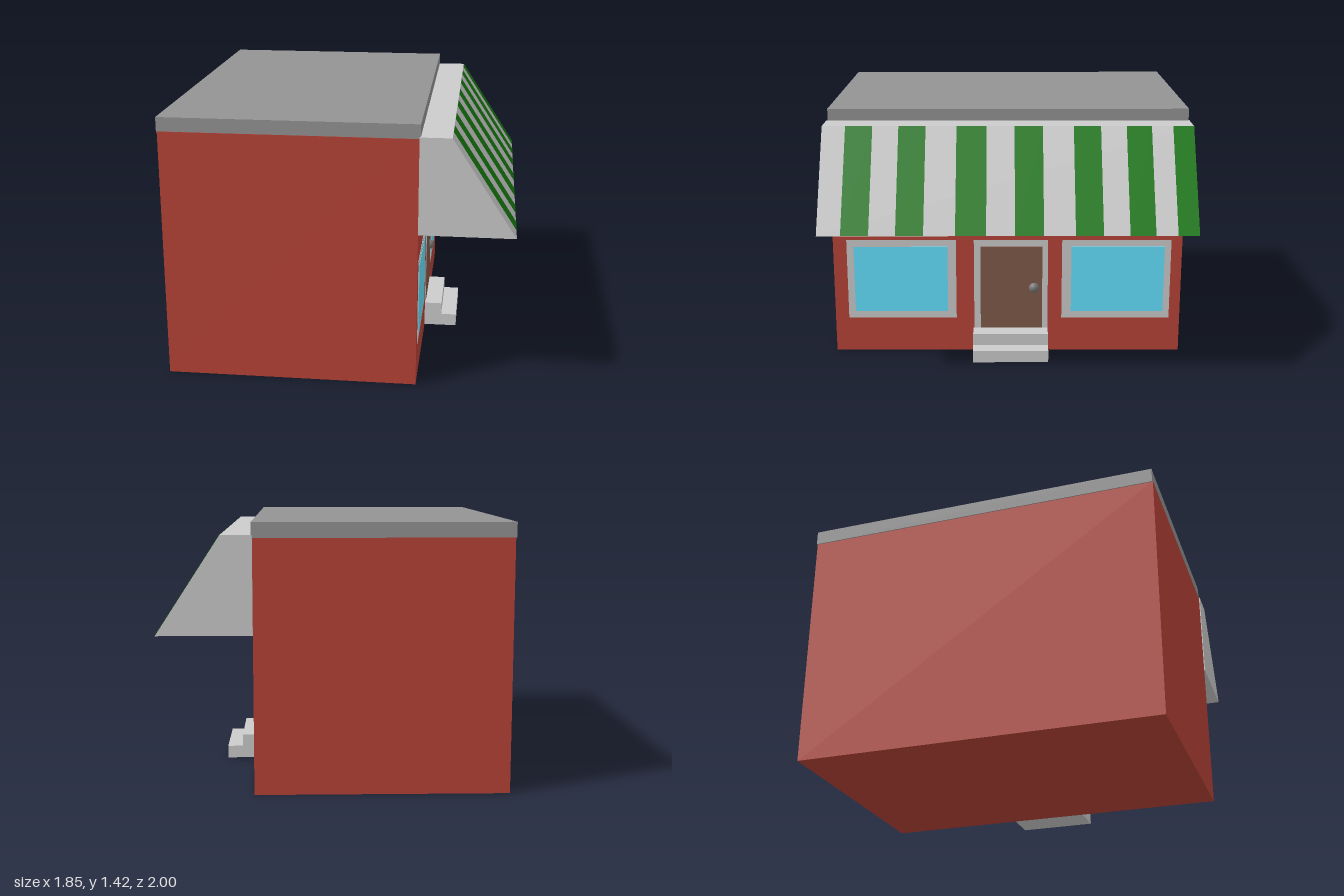
import * as THREE from 'three';

const mat = (color, opts = {}) => new THREE.MeshStandardMaterial({ color, ...opts });
const grey = mat(0xcccccc);
const brick = mat(0xb84337);
const roofGrey = mat(0x939393);
const green = mat(0x167a10, { side: THREE.DoubleSide });
const brown = mat(0x7f5a4a);
const glassBlue = mat(0x64e2ff);
const knobGrey = mat(0x7a7a7a);

const WALL = 0.424; // x of the shop front

export function createModel() {
  const shop = new THREE.Group();
  shop.name = 'shop';

  const add = (parent, name, geometry, material) => {
    const mesh = new THREE.Mesh(geometry, material);
    mesh.name = name;
    parent.add(mesh);
    return mesh;
  };

  // Box given by its limits on each axis
  const box = (parent, name, material, [x0, x1], [y0, y1], [z0, z1]) => {
    const mesh = add(parent, name, new THREE.BoxGeometry(x1 - x0, y1 - y0, z1 - z0), material);
    mesh.position.set((x0 + x1) / 2, (y0 + y1) / 2, (z0 + z1) / 2);
    return mesh;
  };

  // Side profile in x and y, drawn out along z
  const prism = (name, material, points, z0, z1) => {
    const shape = new THREE.Shape(points.map(([x, y]) => new THREE.Vector2(x, y)));
    const geometry = new THREE.ExtrudeGeometry(shape, { depth: z1 - z0, bevelEnabled: false });
    geometry.translate(0, 0, z0);
    return add(shop, name, geometry, material);
  };

  // Building and flat roof
  box(shop, 'walls', brick, [-0.92, WALL], [0, 1.35], [-0.992, 0.995]);
  box(shop, 'roof', roofGrey, [-0.925, 0.43], [1.345, 1.425], [-0.995, 0.992]);

  // Windows: a frame with a pane set on it
  const windows = [
    { frame: [0.296, 0.918], pane: [0.345, 0.878] },
    { frame: [-0.93, -0.309], pane: [-0.893, -0.363] },
  ];
  for (const { frame, pane } of windows) {
    const group = new THREE.Group();
    group.name = 'window';
    box(group, 'windowFrame', grey, [WALL - 0.02, WALL + 0.002], [0.2, 0.67], frame);
    box(group, 'windowPane', glassBlue, [WALL - 0.01, WALL + 0.004], [0.24, 0.63], pane);
    shop.add(group);
  }

  // Door with frame and knob
  box(shop, 'doorFrame', grey, [WALL - 0.02, WALL + 0.002], [0.1, 0.67], [-0.229, 0.194]);
  box(shop, 'door', brown, [WALL - 0.01, WALL + 0.004], [0.1, 0.63], [-0.197, 0.157]);
  add(shop, 'doorKnob', new THREE.SphereGeometry(0.03, 24, 16), knobGrey)
    .position.set(WALL, 0.384, -0.15);

  // Two front steps
  prism('steps', grey,
    [[WALL, 0], [0.61, 0], [0.61, 0.07], [0.523, 0.07], [0.523, 0.138], [WALL, 0.138]],
    -0.229, 0.199);

  // Awning with a sloping front
  const top = [0.588, 1.36];
  const hem = [0.925, 0.845];
  prism('awning', grey, [[WALL, hem[1]], hem, top, [WALL, top[1]]], -1, 1);

  // Green stripes lying on the slope
  const slope = Math.hypot(hem[0] - top[0], top[1] - hem[1]);
  const angle = Math.atan2(hem[0] - top[0], top[1] - hem[1]);
  const stripes = [
    [-1, -0.888], [-0.773, -0.638], [-0.5, -0.354], [-0.188, -0.036],
    [0.114, 0.276], [0.442, 0.588], [0.728, 0.874],
  ];
  for (const [z0, z1] of stripes) {
    const geometry = new THREE.PlaneGeometry(z1 - z0, slope);
    geometry.rotateY(Math.PI / 2).translate(0.002, 0, 0).rotateZ(angle);
    add(shop, 'awningStripe', geometry, green)
      .position.set((top[0] + hem[0]) / 2, (top[1] + hem[1]) / 2, (z0 + z1) / 2);
  }

  return shop;
}
